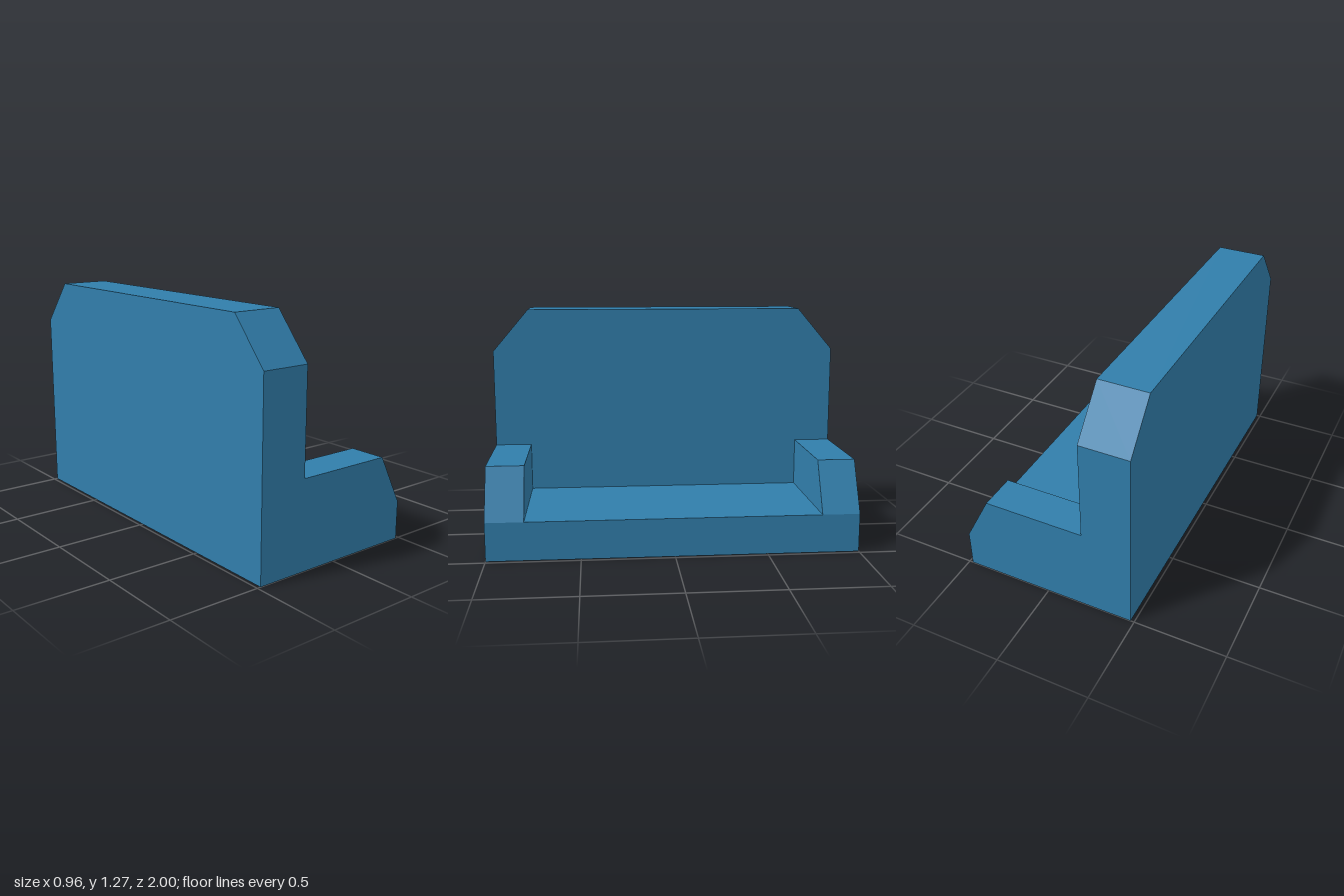
import * as THREE from 'three';

// Key dimensions: a hollow bench shell, open underneath, with its seat facing +x
const BACK = -0.48, REST = -0.21, SLOPE = 0.34, FRONT = 0.48;
const SEAT_Y = 0.21, ARM_Y = 0.48, SHOULDER_Y = 1.035, TOP_Y = 1.275;
const INNER = 0.795, END = 1;

// Flat sheet from a 2D outline, facing +z
function sheet(points) {
  return new THREE.ShapeGeometry(new THREE.Shape(points.map(([x, y]) => new THREE.Vector2(x, y))));
}

// Folded strip: a path of 3D points swept along one offset, with crisp folds
function strip(path, offset) {
  const pos = [];
  for (let i = 0; i < path.length - 1; i++) {
    const a = path[i], b = path[i + 1];
    const c = b.map((v, k) => v + offset[k]), d = a.map((v, k) => v + offset[k]);
    pos.push(...a, ...b, ...c, ...a, ...c, ...d);
  }
  const geo = new THREE.BufferGeometry();
  geo.setAttribute('position', new THREE.Float32BufferAttribute(pos, 3));
  geo.computeVertexNormals();
  return geo;
}

export function createModel() {
  const group = new THREE.Group();
  group.name = 'bench';
  const blue = new THREE.MeshStandardMaterial({ color: 0x317eab, side: THREE.DoubleSide });
  blue.name = 'blue';
  const add = (name, geo) => {
    const mesh = new THREE.Mesh(geo, blue);
    mesh.name = name;
    group.add(mesh);
  };

  // Backrest: rear sheet, front sheet notched around the arms, chamfered top
  const crown = [[END, SHOULDER_Y], [INNER, TOP_Y], [-INNER, TOP_Y], [-END, SHOULDER_Y]];
  add('backrestRear', sheet([[-END, 0], [END, 0], ...crown]).rotateY(-Math.PI / 2).translate(BACK, 0, 0));
  add('backrestFront', sheet([
    [-INNER, SEAT_Y], [INNER, SEAT_Y], [INNER, ARM_Y], [END, ARM_Y],
    ...crown, [-END, ARM_Y], [-INNER, ARM_Y],
  ]).rotateY(Math.PI / 2).translate(REST, 0, 0));
  add('backrestTop', strip(crown.map(([z, y]) => [BACK, y, -z]), [REST - BACK, 0, 0]));

  // Seat and the full-width panel below its front edge
  add('seat', strip([[REST, SEAT_Y, INNER], [FRONT, SEAT_Y, INNER]], [0, 0, -2 * INNER]));
  add('seatFront', strip([[FRONT, SEAT_Y, END], [FRONT, 0, END]], [0, 0, -2 * END]));

  // Ends: outer profile, arm top with sloped nose, and inner arm face
  const profile = [[BACK, 0], [FRONT, 0], [FRONT, SEAT_Y], [SLOPE, ARM_Y],
    [REST, ARM_Y], [REST, SHOULDER_Y], [BACK, SHOULDER_Y]];
  const armFace = [[REST, SEAT_Y], [FRONT, SEAT_Y], [SLOPE, ARM_Y], [REST, ARM_Y]];
  // Mirror a +z facing sheet by turning it about y with x negated
  const facing = (points, s, z) => s > 0
    ? sheet(points).translate(0, 0, z)
    : sheet(points.map(([x, y]) => [-x, y])).rotateY(Math.PI).translate(0, 0, z);
  for (const s of [1, -1]) {
    const side = s > 0 ? 'left' : 'right';
    add(side + 'EndPanel', facing(profile, s, s * END));
    add(side + 'ArmInner', facing(armFace, -s, s * INNER));
    const z = s > 0 ? END : -INNER;
    add(side + 'ArmTop', strip(
      [[REST, ARM_Y, z], [SLOPE, ARM_Y, z], [FRONT, SEAT_Y, z]], [0, 0, INNER - END]));
  }
  return group;
}
